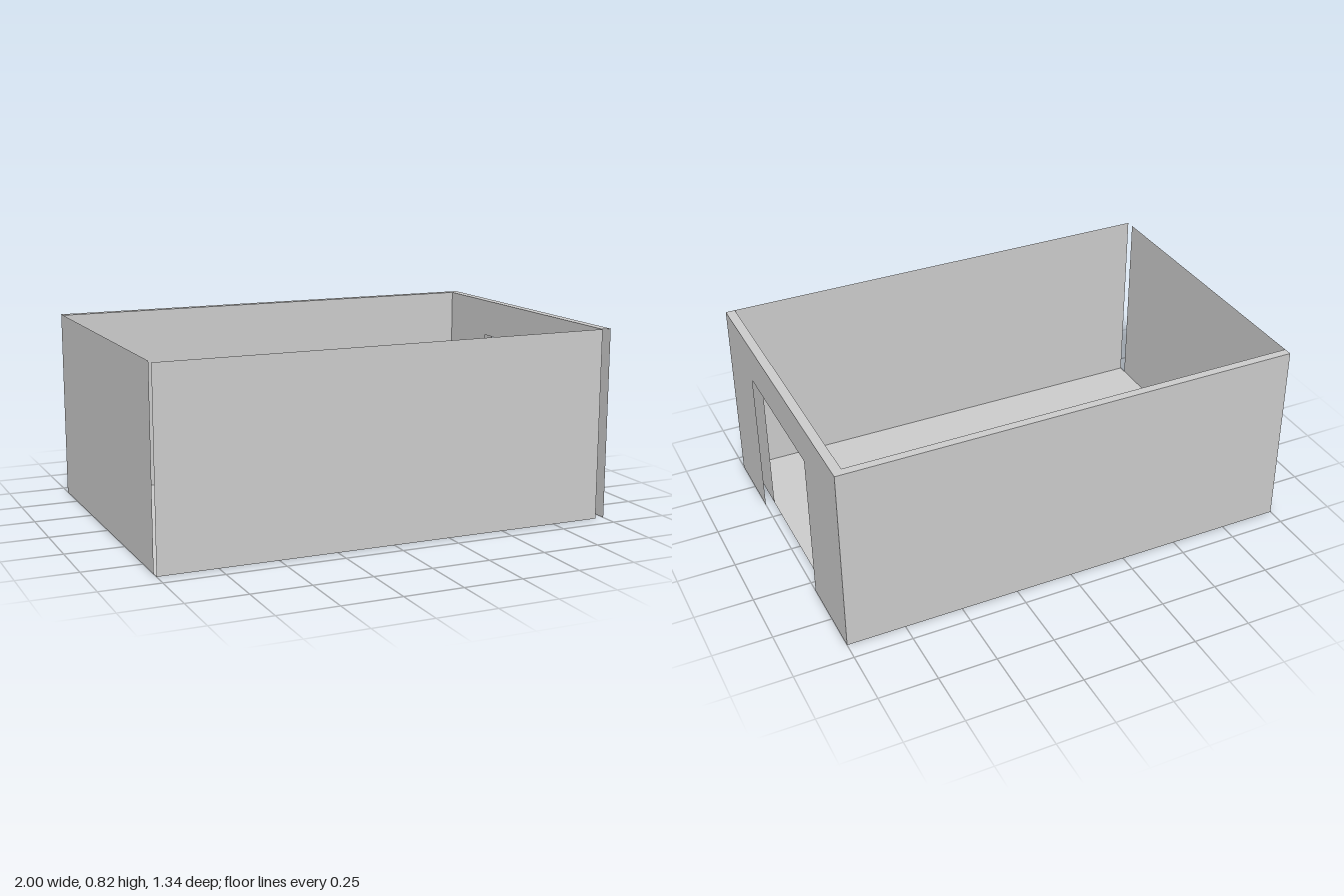
import * as THREE from 'three';

const H = 0.82;                 // wall height
const X0 = -1, X1 = 1, XI = 0.96;        // left, right outer, right inner
const Z0 = -0.672, Z1 = 0.672, ZI = -0.636; // back outer, front, back inner
const DOOR = { z0: -0.306, z1: 0.348, top: 0.656 };

const material = new THREE.MeshStandardMaterial({ color: 0xcccccc, side: THREE.DoubleSide });

export function createModel() {
  const group = new THREE.Group();
  const add = (name, geometry) => {
    const mesh = new THREE.Mesh(geometry, material);
    mesh.name = name;
    group.add(mesh);
  };

  // Flat sheet outline from [a, b] corner pairs
  const sheet = (points) => new THREE.ShapeGeometry(
    new THREE.Shape(points.map(([a, b]) => new THREE.Vector2(a, b))));
  const rect = (a0, a1, b0, b1) => sheet([[a0, b0], [a1, b0], [a1, b1], [a0, b1]]);

  // Floor, lying inside the inner wall faces
  add('floor', rect(X0, XI, -Z1, -ZI).rotateX(-Math.PI / 2));

  // Single-sheet front and left walls
  add('frontWall', rect(X0, XI, 0, H).translate(0, 0, Z1));
  add('leftWall', rect(-Z1, -ZI, 0, H).rotateY(Math.PI / 2).rotateY(Math.PI)
    .scale(1, 1, -1).rotateY(0).translate(X0, 0, 0).scale(1, 1, -1));

  // Back wall: inner and outer sheets, hollow between
  add('backWallInner', rect(X0, XI, 0, H).translate(0, 0, ZI));
  add('backWallOuter', rect(-X1, -X0, 0, H).rotateY(Math.PI).translate(0, 0, Z0));

  // Right wall: two sheets with a doorway cut through both
  const doorWall = (x, back) => sheet([
    [-Z1, 0], [-DOOR.z1, 0], [-DOOR.z1, DOOR.top], [-DOOR.z0, DOOR.top],
    [-DOOR.z0, 0], [-back, 0], [-back, H], [-Z1, H],
  ]).rotateY(Math.PI / 2).translate(x, 0, 0);
  add('rightWallInner', doorWall(XI, ZI));
  add('rightWallOuter', doorWall(X1, Z0));

  // L-shaped rim closing the top of the hollow walls
  add('topRim', sheet([
    [X0, -ZI], [XI, -ZI], [XI, -Z1], [X1, -Z1], [X1, -Z0], [X0, -Z0],
  ]).rotateX(-Math.PI / 2).translate(0, H, 0));

  return group;
}
